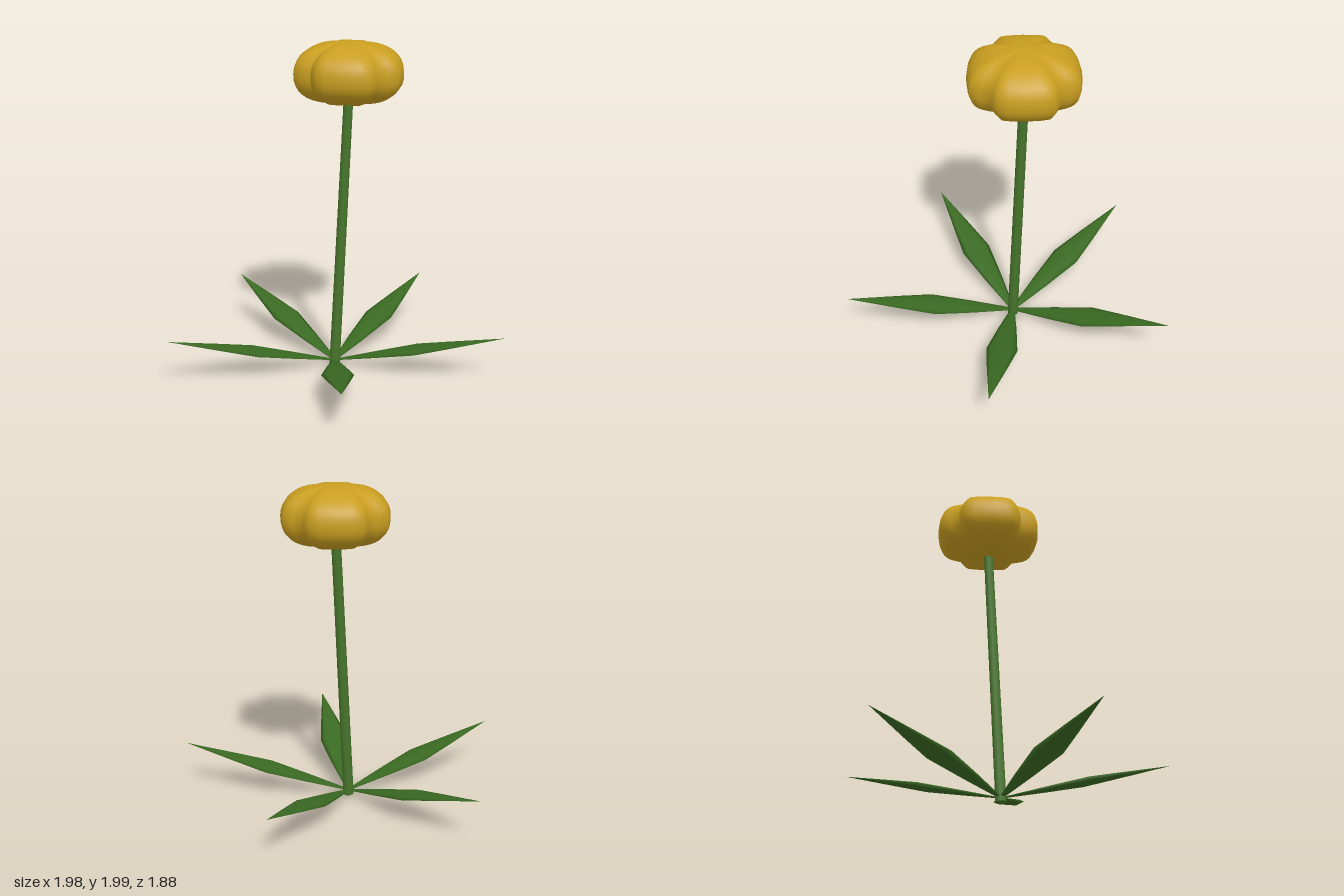
import * as THREE from 'three';

const BASE_Z = 0.1;

// A pointed, flattened leaf growing along +y from the origin
function leafGeometry(length) {
  const profile = [[0.012, 0], [0.058, 0.25], [0.095, 0.49], [0.06, 0.69], [0, 1]]
    .map(([r, t]) => new THREE.Vector2(r, t * length));
  return new THREE.LatheGeometry(profile, 8).scale(1, 1, 0.17);
}

// Squashed ball whose outline is pinched at the four axes
function blossomGeometry() {
  const geo = new THREE.SphereGeometry(1, 40, 20);
  const lobes = [0.28, 0.335, 0.32, 0.32, 0.335]; // radius every 18 degrees
  const p = geo.attributes.position;
  for (let i = 0; i < p.count; i++) {
    const x = p.getX(i), y = p.getY(i), z = p.getZ(i);
    const step = ((Math.atan2(z, x) / (Math.PI / 10)) + 20) % 5;
    const k = Math.floor(step);
    const radius = THREE.MathUtils.lerp(lobes[k % 5], lobes[(k + 1) % 5], step - k);
    const ring = Math.hypot(x, z);
    // fuller than an ellipse, a little narrower towards the top
    const full = ring > 1e-6 ? Math.pow(ring, 0.8) / ring : 0;
    const taper = 1 - 0.025 * y;
    const height = 0.18 * Math.sign(y) * Math.pow(Math.abs(y), 0.85);
    const dip = 1 - (0.335 - radius) * 1.5 * ring;
    p.setXYZ(i, x * full * radius * taper, height * dip, z * full * radius * taper);
  }
  geo.computeVertexNormals();
  return geo;
}

export function createModel() {
  const model = new THREE.Group();
  const leafMat = new THREE.MeshStandardMaterial({ color: 0x3a6a22 });
  const stemMat = new THREE.MeshStandardMaterial({ color: 0x47752b });
  const petalMat = new THREE.MeshStandardMaterial({ color: 0xc99e20 });

  // Leaning stem
  const foot = new THREE.Vector3(0, 0.005, BASE_Z);
  const top = new THREE.Vector3(0.1, 1.7, BASE_Z);
  const along = top.clone().sub(foot);
  const stem = new THREE.Mesh(new THREE.CylinderGeometry(0.029, 0.033, along.length(), 10), stemMat);
  stem.name = 'stem';
  stem.position.copy(foot).add(top).multiplyScalar(0.5);
  stem.quaternion.setFromUnitVectors(new THREE.Vector3(0, 1, 0), along.normalize());
  model.add(stem);

  // Blossom
  const blossom = new THREE.Mesh(blossomGeometry(), petalMat);
  blossom.name = 'blossom';
  blossom.position.set(0.1, 1.81, BASE_Z);
  model.add(blossom);

  // Five leaves in a rosette, the first pointing back
  const leaves = new THREE.Group();
  leaves.name = 'leaves';
  leaves.position.set(0, 0.03, BASE_Z);
  const reach = 1.04, rise = 0.265;
  const geo = leafGeometry(Math.hypot(reach, rise));
  geo.rotateX(-Math.atan2(reach, rise));
  for (let i = 0; i < 5; i++) {
    const leaf = new THREE.Mesh(geo, leafMat);
    leaf.name = 'leaf' + (i + 1);
    leaf.rotation.y = (i * Math.PI * 2) / 5;
    leaves.add(leaf);
  }
  model.add(leaves);
  return model;
}
